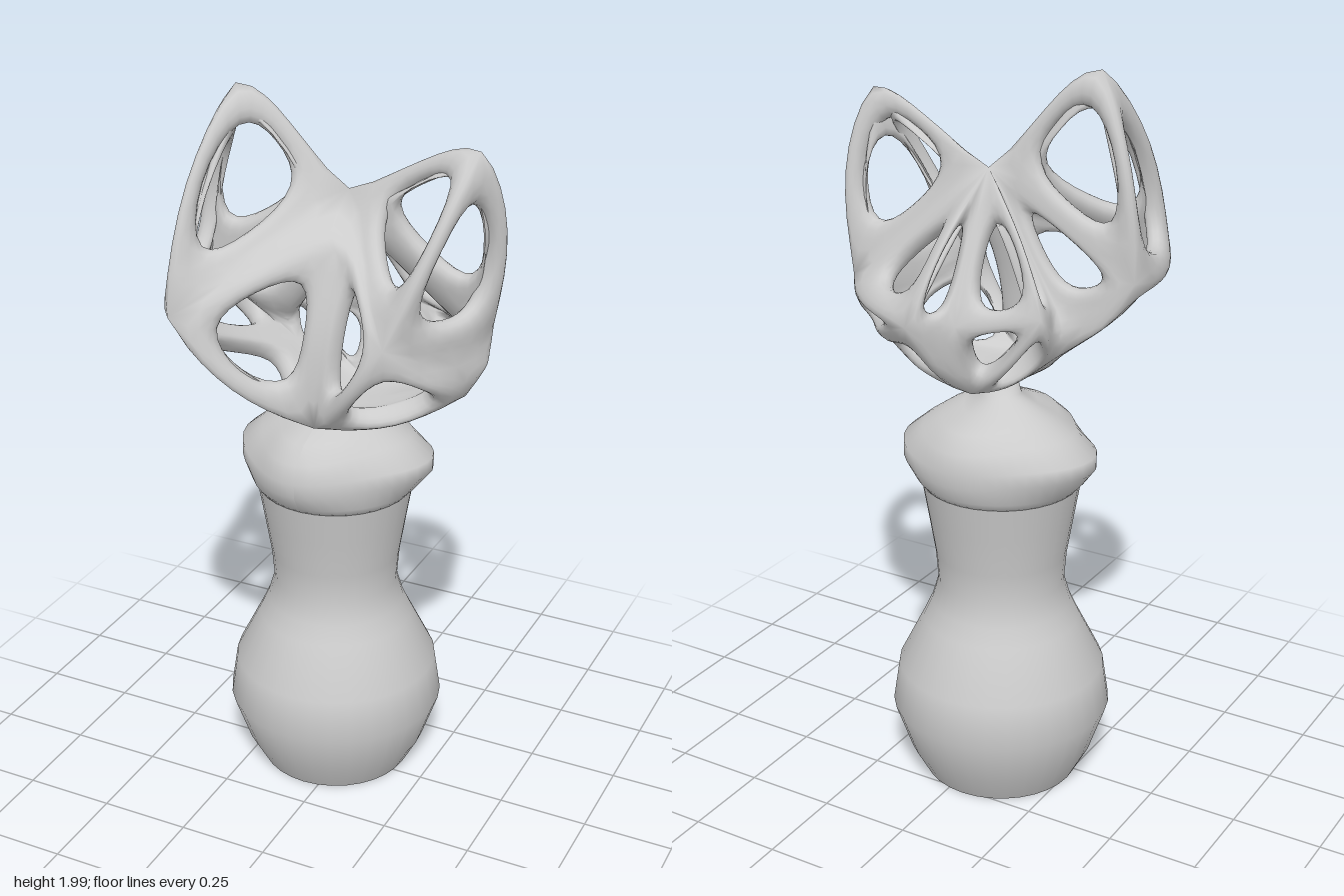
import * as THREE from 'three';

const V = (x, y, z) => new THREE.Vector3(x, y, z);
const mat = new THREE.MeshStandardMaterial({ color: 0xcccccc, side: THREE.DoubleSide });
const AXIS = [-0.045, -0.05];

// Corner points of the pierced, two-horned shell
const corners = {
  C: [0, 1.73, -0.04], HR: [-0.275, 1.995, 0.045], HL: [0.375, 1.89, 0],
  FR: [-0.32, 1.46, 0.35], SR: [-0.415, 1.48, -0.025], FM: [0.03, 1.615, 0.1],
  FL: [0.22, 1.42, 0.23], SL: [0.385, 1.4, -0.1], BL: [0.09, 1.36, -0.305],
  BM: [0, 1.35, -0.21], BR: [-0.235, 1.4, -0.18], FD: [0, 1.14, 0.17],
  LD: [0.35, 1.23, -0.01], RD: [-0.2, 1.25, -0.05], BD: [0, 1.14, -0.13],
  SN: [-0.21, 1.39, -0.055],
};
const wide = ['C HR FR', 'C FL HL', 'HR SR FR', 'HR C SR', 'HL FL SL', 'HL SL C', 'FM FR FD',
  'FM FD FL', 'FL FD LD', 'FR RD FD', 'FR SR RD', 'C BL BM', 'C BM BR', 'C BR SN', 'C SN SR',
  'BM BD BR', 'BR BD RD'];
const narrow = ['C SL BL', 'SL LD BL', 'BL LD BD'];
const solid = ['C FR FM', 'C FM FL', 'FL LD SL', 'BL BD BM', 'RD BD FD', 'SN RD SR', 'BR RD SN', 'LD FD BD'];
// Edges in the valleys and along the brow stay straight; all others bow outward
const straight = /C-[FHS]|FM-FR|FL-FM|SN|BM/;

// Thick cage: every pierced triangle gets a six-sided opening through to the inner skin
function buildCage(P, t) {
  const names = Object.keys(P), verts = names.map(n => P[n].clone()), faces = [];
  const mid = {}, normals = {};
  const centre = V(0, 1.4, 0.03);
  const tris = [...wide, ...narrow, ...solid].map(s => {
    let k = s.split(' ');
    const [a, b, c] = k.map(n => V(...corners[n]));
    const n = b.clone().sub(a).cross(c.clone().sub(a)).normalize();
    if (n.dot(a.clone().add(b).add(c).divideScalar(3).sub(centre)) < 0) { k = [k[0], k[2], k[1]]; n.negate(); }
    return { k, n, open: !solid.includes(s), rim: narrow.includes(s) ? 0.12 : 0 };
  });
  const edgeKey = (a, b) => [a, b].sort().join('-');
  for (const f of tris) {
    f.ring = [];
    f.k.forEach((a, i) => {
      const b = f.k[(i + 1) % 3], e = edgeKey(a, b);
      if (mid[e] === undefined) mid[e] = verts.push(P[a].clone().lerp(P[b], 0.5)) - 1;
      f.ring.push(names.indexOf(a), mid[e]);
    });
    f.ring.forEach(i => (normals[i] ??= V(0, 0, 0)).add(f.n));
  }
  const outerCount = verts.length;
  for (let i = 0; i < outerCount; i++) normals[i].normalize();
  for (const e in mid) {
    const [a, b] = e.split('-');
    if (!straight.test(e)) verts[mid[e]].addScaledVector(normals[mid[e]], 0.09 * P[a].distanceTo(P[b]));
  }
  for (let i = 0; i < outerCount; i++) verts.push(verts[i].clone().addScaledVector(normals[i], -t));
  for (const { ring, n, open, rim } of tris) {
    if (!open) {
      faces.push(ring, ring.map(i => i + outerCount).reverse());
      continue;
    }
    const c = V(0, 0, 0);
    ring.forEach(i => c.addScaledVector(verts[i], 1 / 6));
    const lip = ring.map((v, i) => verts.push(verts[v].clone().lerp(c, rim + (i % 2 ? 0.29 : 0.45))) - 1);
    const inner = lip.map(v => verts.push(verts[v].clone().addScaledVector(n, -t)) - 1);
    ring.forEach((a, i) => {
      const j = (i + 1) % 6, b = ring[j];
      faces.push([a, b, lip[j], lip[i]], [lip[i], lip[j], inner[j], inner[i]],
        [inner[i], inner[j], b + outerCount, a + outerCount]);
    });
  }
  return { verts, faces };
}

// One round of Catmull-Clark smoothing; original points keep their index
function smooth({ verts, faces }) {
  const out = verts.map(() => V(0, 0, 0)), edges = new Map(), quads = [];
  const sumF = verts.map(() => V(0, 0, 0)), sumE = verts.map(() => V(0, 0, 0)), n = verts.map(() => 0);
  const id = (a, b) => (a < b ? a + '_' + b : b + '_' + a);
  const fp = faces.map(f => {
    const c = V(0, 0, 0);
    f.forEach(i => c.addScaledVector(verts[i], 1 / f.length));
    f.forEach((a, i) => {
      const b = f[(i + 1) % f.length], k = id(a, b);
      sumF[a].add(c);
      n[a]++;
      if (!edges.has(k)) edges.set(k, { a, b, c: V(0, 0, 0), m: 0 });
      edges.get(k).c.add(c);
      edges.get(k).m++;
    });
    return out.push(c) - 1;
  });
  for (const e of edges.values()) {
    const m = verts[e.a].clone().add(verts[e.b]);
    sumE[e.a].addScaledVector(m, 0.5);
    sumE[e.b].addScaledVector(m, 0.5);
    e.i = out.push(m.add(e.c).divideScalar(2 + e.m)) - 1;
  }
  verts.forEach((v, i) => out[i].copy(v).multiplyScalar((n[i] - 3) / n[i])
    .addScaledVector(sumF[i], 1 / n[i] ** 2).addScaledVector(sumE[i], 2 / n[i] ** 2));
  faces.forEach((f, q) => f.forEach((a, i) => {
    const b = f[(i + 1) % f.length], p = f[(i + f.length - 1) % f.length];
    quads.push([a, edges.get(id(a, b)).i, fp[q], edges.get(id(p, a)).i]);
  }));
  return { verts: out, faces: quads };
}

function latticeGeometry() {
  const P = {};
  for (const k in corners) P[k] = V(...corners[k]);
  const make = () => smooth(smooth(buildCage(P, 0.065)));
  // Push the cage out until the smoothed skin reaches the corner points
  for (let r = 0; r < 4; r++) {
    const s = make();
    Object.keys(P).forEach((k, i) => P[k].addScaledVector(V(...corners[k]).sub(s.verts[i]), 0.7));
  }
  const s = make(), g = new THREE.BufferGeometry();
  g.setFromPoints(s.verts);
  g.setIndex(s.faces.flatMap(([a, b, c, d]) => [a, b, c, a, c, d]));
  g.computeVertexNormals();
  return g;
}

// Lumpy stopper: a lathe with an uneven outline
function stopperGeometry() {
  const profile = [[0.001, 0.875], [0.21, 0.875], [0.23, 0.9], [0.25, 0.945], [0.25, 0.985], [0.215, 1.035],
    [0.165, 1.075], [0.105, 1.105], [0.055, 1.13], [0.04, 1.18], [0.001, 1.2]];
  const g = new THREE.LatheGeometry(profile.map(p => new THREE.Vector2(...p)), 40);
  const p = g.attributes.position, step = THREE.MathUtils.smoothstep;
  for (let i = 0; i < p.count; i++) {
    const x = p.getX(i), y = p.getY(i), z = p.getZ(i), a = Math.atan2(z, x);
    const w = step(y, 0.88, 0.95) * (1 - step(y, 1.1, 1.15));
    const k = 1 + w * ((0.06 - 0.16 * step(y, 0.98, 1.07)) * Math.cos(2 * a)
      - 0.03 * Math.sin(3 * a) + 0.035 * Math.cos(4 * a));
    p.setXYZ(i, x * k, y + 0.012 * w * Math.sin(a * 2 + 0.6), z * k);
  }
  g.computeVertexNormals();
  return g;
}

export function createModel() {
  const model = new THREE.Group();
  const add = (name, geometry, x = 0, z = 0) => {
    const m = new THREE.Mesh(geometry, mat);
    m.name = name;
    m.position.set(x, 0, z);
    model.add(m);
  };

  // Bulbous bottle, open underneath
  const bottle = [[0.215, 0], [0.258, 0.08], [0.303, 0.21], [0.285, 0.33], [0.215, 0.47], [0.192, 0.52],
    [0.173, 0.585], [0.18, 0.67], [0.198, 0.78], [0.215, 0.88]];
  add('bottle', new THREE.LatheGeometry(bottle.map(p => new THREE.Vector2(...p)), 32), ...AXIS);
  add('stopper', stopperGeometry(), ...AXIS);
  add('latticeHead', latticeGeometry());
  return model;
}
